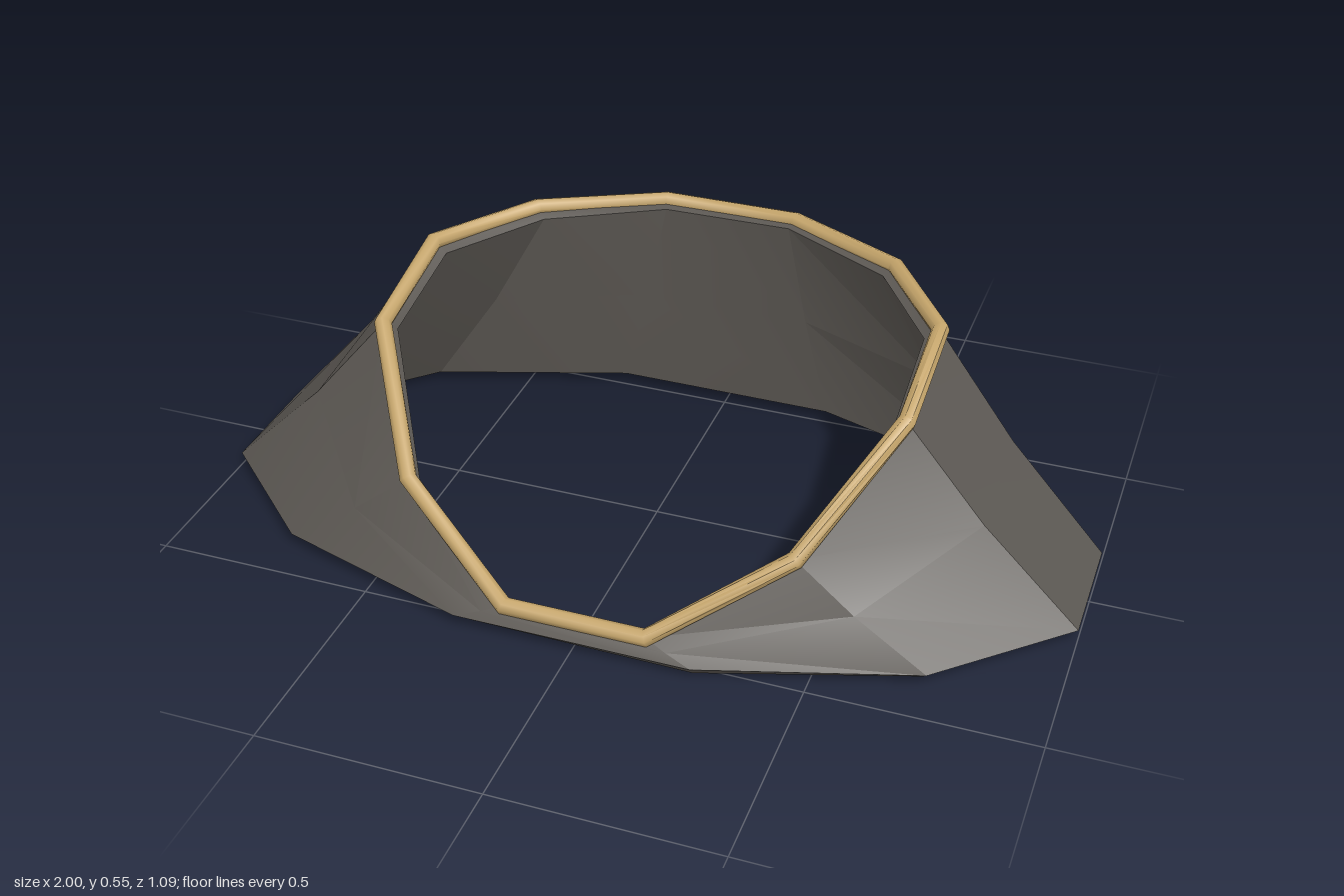
import * as THREE from 'three';
import { toCreasedNormals } from 'three/addons/utils/BufferGeometryUtils.js';

const SIDES = 12;

// Skin a closed ring of cross-sections; each column is a list of Vector3.
function skin(columns, closed) {
  const rows = columns[0].length;
  const index = [];
  for (let i = 0; i < SIDES; i++) {
    const n = (i + 1) % SIDES;
    for (let r = 0; r < (closed ? rows : rows - 1); r++) {
      const u = (r + 1) % rows;
      const a = i * rows + r, b = i * rows + u, c = n * rows + u, d = n * rows + r;
      index.push(a, b, c, a, c, d);
    }
  }
  const geometry = new THREE.BufferGeometry().setFromPoints(columns.flat());
  geometry.setIndex(index);
  geometry.computeVertexNormals();
  return geometry;
}

// Twelve-sided oval, with a height for each vertex.
function oval(rx, rz, height) {
  return Array.from({ length: SIDES }, (_, i) => {
    const a = ((i + 0.5) / SIDES) * Math.PI * 2;
    return new THREE.Vector3(Math.cos(a) * rx, height(Math.sin(a)), Math.sin(a) * rz);
  });
}

// Opening height: high and level behind, dipping steeply at the front.
function openingHeight(s) {
  if (s > 0.9) return 0.07;
  if (s > 0.5) return 0.243;
  if (s > 0) return 0.47;
  return 0.535;
}

export function createModel() {
  const cloth = new THREE.MeshStandardMaterial({ color: 0x5c5853 });
  cloth.name = 'dark grey cloth';
  const gold = new THREE.MeshStandardMaterial({ color: 0xc4a46a });
  gold.name = 'gold trim';

  const bottom = oval(1.035, 0.565, () => 0.035);
  const top = oval(0.618, 0.537, openingHeight);

  // Outer wall, slightly hollow halfway up
  const outer = bottom.map((b, i) => {
    const mid = b.clone().lerp(top[i], 0.5);
    mid.x *= 0.975;
    return [b, mid, top[i]];
  });

  // Thickness: inner wall follows the outer one along its normals
  const normals = skin(outer, false).attributes.normal;
  const shellColumns = outer.map((column, i) => {
    const inner = column.map((p, r) => {
      const n = new THREE.Vector3().fromBufferAttribute(normals, i * 3 + r);
      return p.clone().addScaledVector(n, -0.04);
    });
    return [...column, ...inner.reverse()];
  });
  const shell = new THREE.Mesh(toCreasedNormals(skin(shellColumns, true), 0.4), cloth);
  shell.name = 'collarShell';

  // Round piping mitred around the opening
  const Y = new THREE.Vector3(0, 1, 0);
  const trimColumns = top.map((p, i) => {
    const before = p.clone().sub(top[(i + SIDES - 1) % SIDES]).normalize();
    const after = top[(i + 1) % SIDES].clone().sub(p).normalize();
    const along = before.add(after).normalize();
    const out = Y.clone().cross(along).normalize();
    const up = along.clone().cross(out);
    return Array.from({ length: 8 }, (_, k) => {
      const a = (k / 8) * Math.PI * 2;
      return p.clone()
        .addScaledVector(out, Math.cos(a) * 0.02)
        .addScaledVector(up, Math.sin(a) * 0.02);
    });
  });
  const trim = new THREE.Mesh(toCreasedNormals(skin(trimColumns, true), 0.9), gold);
  trim.name = 'openingTrim';

  const model = new THREE.Group();
  model.name = 'collar';
  model.add(shell, trim);

  // Rest on the ground
  const box = new THREE.Box3().setFromObject(model);
  shell.position.y = trim.position.y = -box.min.y;
  return model;
}
